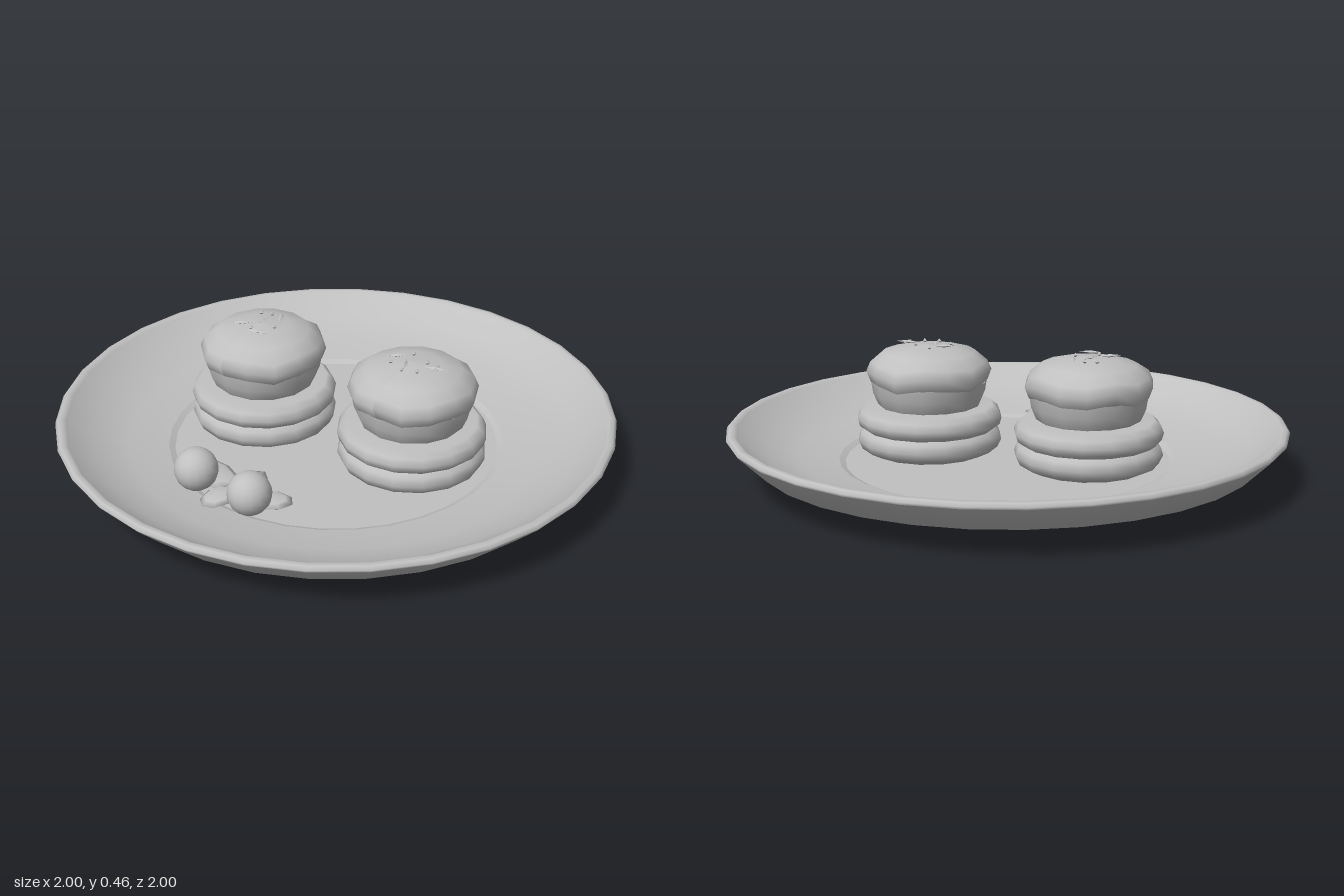
import * as THREE from 'three';

const grey = new THREE.MeshStandardMaterial({ color: 0xc0c0c0 });
grey.name = 'light grey';

function add(parent, name, geometry, x = 0, y = 0, z = 0) {
  const mesh = new THREE.Mesh(geometry, grey);
  mesh.name = name;
  mesh.position.set(x, y, z);
  parent.add(mesh);
  return mesh;
}

// Profile points run from the underside, round the outside, to the top
function lathe(points, sides) {
  return new THREE.LatheGeometry(points.map(([r, y]) => new THREE.Vector2(r, y)), sides);
}

// Gentle uneven edge, strongest at the widest part
function wobble(geometry, phase) {
  const p = geometry.attributes.position;
  for (let i = 0; i < p.count; i++) {
    const x = p.getX(i), z = p.getZ(i);
    const r = Math.hypot(x, z);
    const a = r > 0.001 ? Math.atan2(x, z) : 0;
    const k = r > 0.17 ? 1 : 0;
    p.setY(i, p.getY(i) + k * 0.009 * Math.sin(5 * a + phase));
  }
  geometry.computeVertexNormals();
  return geometry;
}

function createPlate() {
  const plate = new THREE.Group();
  plate.name = 'plate';
  add(plate, 'plateFoot', lathe([[0, 0], [0.6, 0]], 32));
  add(plate, 'plateUnderside', lathe([[0.6, 0], [0.62, 0.042], [0.9, 0.085], [0.995, 0.178]], 32));
  add(plate, 'plateRim', lathe([[0.995, 0.178], [1, 0.187], [0.99, 0.198], [0.973, 0.2], [0.96, 0.19]], 32));
  add(plate, 'plateWall', lathe([[0.96, 0.19], [0.87, 0.128], [0.75, 0.092], [0.605, 0.07]], 32));
  add(plate, 'plateFloorEdge', lathe([[0.605, 0.07], [0.583, 0.06]], 32));
  add(plate, 'plateFloor', lathe([[0.583, 0.06], [0, 0.06]], 32));
  return plate;
}

function createBun(x, z, phase, slivers, crumbs) {
  const bun = new THREE.Group();
  bun.name = 'bun';
  bun.position.set(x, 0, z);
  // Two soft layers underneath
  add(bun, 'lowerLayer', lathe([[0, 0.06], [0.21, 0.06], [0.25, 0.08], [0.264, 0.11], [0.255, 0.137], [0.238, 0.15]], 16));
  add(bun, 'upperLayer', lathe([[0.238, 0.15], [0.258, 0.165], [0.265, 0.19], [0.255, 0.215], [0.232, 0.235], [0, 0.235]], 16));
  // Tapered middle and rounded cap
  add(bun, 'middle', lathe([[0.175, 0.225], [0.188, 0.24], [0.205, 0.28], [0.212, 0.325]], 14));
  add(bun, 'cap', wobble(lathe([[0, 0.305], [0.195, 0.306], [0.214, 0.322], [0.228, 0.36], [0.213, 0.394],
    [0.168, 0.43], [0.1, 0.446], [0, 0.453]], 14), phase));
  // Toppings: thin slivers [x, z, length, turn] and crumbs [x, z]
  for (const [sx, sz, length, turn] of slivers) {
    const sliver = add(bun, 'sliver', new THREE.OctahedronGeometry(1), sx, 0.456, sz);
    sliver.scale.set(length / 2, 0.006, 0.01);
    sliver.rotation.y = turn;
  }
  for (const [cx, cz] of crumbs) {
    add(bun, 'crumb', new THREE.OctahedronGeometry(0.009), cx, 0.454, cz);
  }
  return bun;
}

function createGarnish() {
  const garnish = new THREE.Group();
  garnish.name = 'garnish';
  // Leaves: x, y, z, half length, half width, turn, tilt
  const leaves = [
    [-0.145, 0.1, 0.5, 0.14, 0.07, -0.2, 0],
    [-0.005, 0.105, 0.485, 0.1, 0.055, 1.57, 0],
    [-0.025, 0.1, 0.6, 0.07, 0.055, 1.4, 0.1],
    [0.12, 0.095, 0.5, 0.085, 0.06, 0.2, 0.1],
  ];
  for (const [x, y, z, length, width, turn, tilt] of leaves) {
    const leaf = add(garnish, 'leaf', new THREE.SphereGeometry(1, 8, 4), x, y, z);
    leaf.scale.set(length, 0.016, width);
    leaf.rotation.set(0, turn, tilt);
  }
  for (const x of [-0.123, 0.118]) {
    add(garnish, 'berry', new THREE.SphereGeometry(0.076, 16, 12), x, 0.174, 0.6);
  }
  return garnish;
}

export function createModel() {
  const model = new THREE.Group();
  model.name = 'plateOfBuns';
  model.add(createPlate());
  model.add(createBun(-0.303, 0.045, 0.4,
    [[0.027, -0.07, 0.085, -1.05], [-0.012, -0.01, 0.09, 1.45], [-0.055, 0.045, 0.09, 0.75], [0.03, 0.07, 0.085, 0.25]],
    [[-0.06, -0.06], [-0.02, -0.075], [0.055, 0], [-0.01, 0.055]]));
  model.add(createBun(0.3, -0.052, 1.7,
    [[-0.07, -0.005, 0.085, 0.75], [-0.012, 0.035, 0.085, -1.1], [0.09, -0.005, 0.085, 0.3], [0.09, -0.005, 0.075, 1.75]],
    [[-0.035, -0.05], [0.05, 0.05], [0, 0.07], [-0.065, 0.045], [0.04, -0.025]]));
  model.add(createGarnish());
  return model;
}
